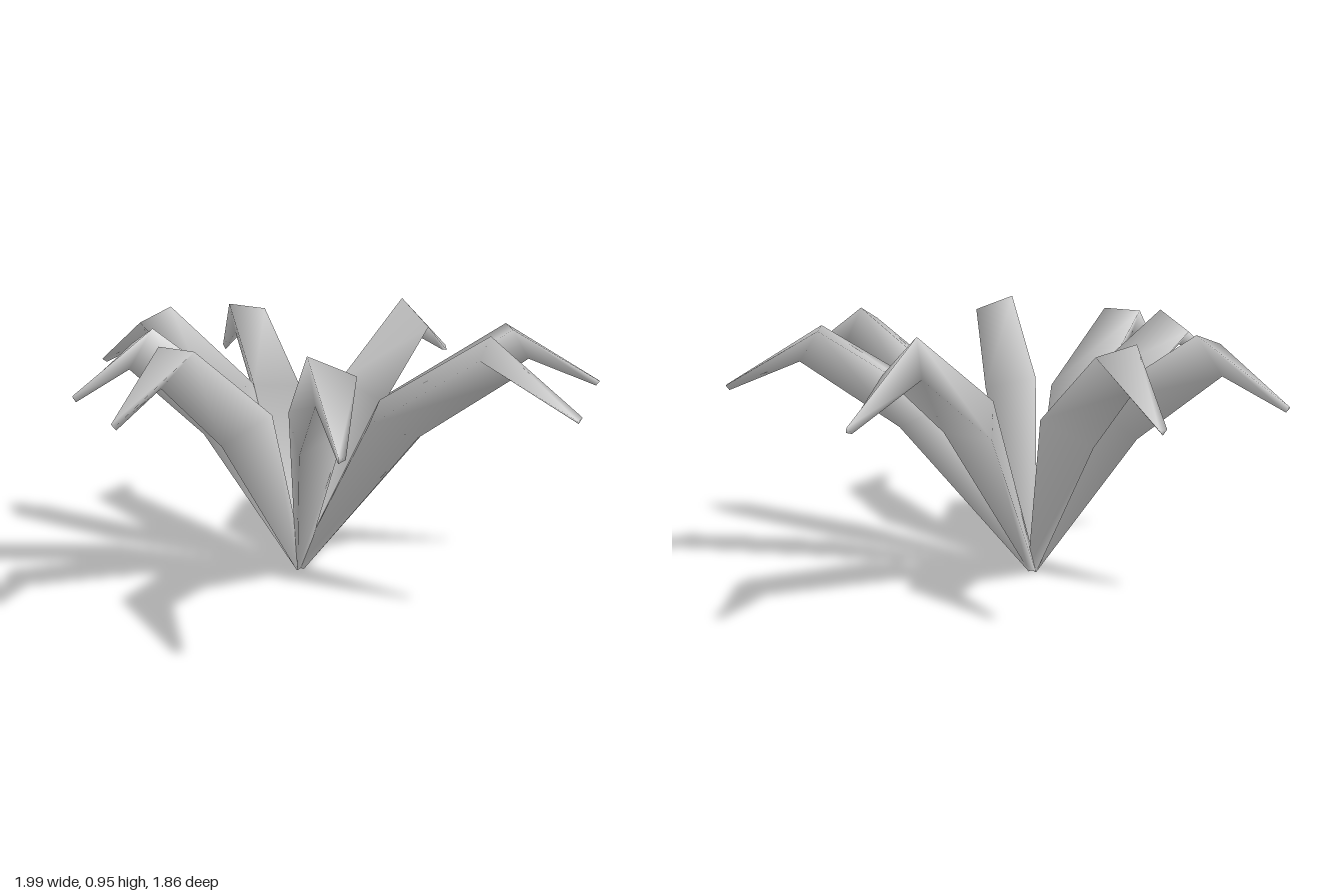
import * as THREE from 'three';

// Centreline stations: [fraction of reach, height, radius, backward lean of the ring]
const STATIONS = [
  [0, 0.012, 0.02, 0.99],
  [0.353, 0.62, 0.117, 0.99],
  [0.715, 0.875, 0.092, 0.56],
  [0.995, 0.71, 0.014, -0.49],
];
const SIDES = 3;

// Leaves: [tip x, tip z, roll about the centreline in degrees]
const LEAVES = [
  [-0.18, -0.93, 0],
  [0.69, -0.73, 60],
  [0.99, -0.14, 35],
  [0.785, 0.735, -35],
  [0.01, 0.925, 60],
  [-0.43, 0.77, 30],
  [-0.995, 0.23, -40],
  [-0.885, -0.32, 48],
];
const ROOT = new THREE.Vector2(-0.08, 0.04);

// Three-sided tapering tube, bent over near the end, growing towards +z
function leafGeometry(reach, roll) {
  const positions = [], index = [];
  for (const [f, y, radius, lean] of STATIONS) {
    for (let j = 0; j < SIDES; j++) {
      const a = roll + (j / SIDES) * Math.PI * 2;
      const up = radius * Math.cos(a);
      positions.push(radius * Math.sin(a), y + up * Math.cos(lean), f * reach - up * Math.sin(lean));
    }
  }
  const last = (STATIONS.length - 1) * SIDES;
  for (let i = 0; i < last; i += SIDES) {
    for (let j = 0; j < SIDES; j++) {
      const k = (j + 1) % SIDES;
      index.push(i + j, i + SIDES + j, i + k, i + k, i + SIDES + j, i + SIDES + k);
    }
  }
  index.push(0, 1, 2, last, last + 2, last + 1); // end caps
  const geometry = new THREE.BufferGeometry();
  geometry.setAttribute('position', new THREE.Float32BufferAttribute(positions, 3));
  geometry.setIndex(index);
  geometry.computeVertexNormals();
  return geometry;
}

export function createModel() {
  const plant = new THREE.Group();
  plant.name = 'plant';
  const material = new THREE.MeshStandardMaterial({ color: 0xcccccc });
  LEAVES.forEach(([x, z, roll], i) => {
    const dx = x - ROOT.x, dz = z - ROOT.y;
    const leaf = new THREE.Mesh(leafGeometry(Math.hypot(dx, dz), THREE.MathUtils.degToRad(roll)), material);
    leaf.name = `leaf${i + 1}`;
    leaf.position.set(ROOT.x, 0, ROOT.y);
    leaf.rotation.y = Math.atan2(dx, dz);
    plant.add(leaf);
  });
  return plant;
}
